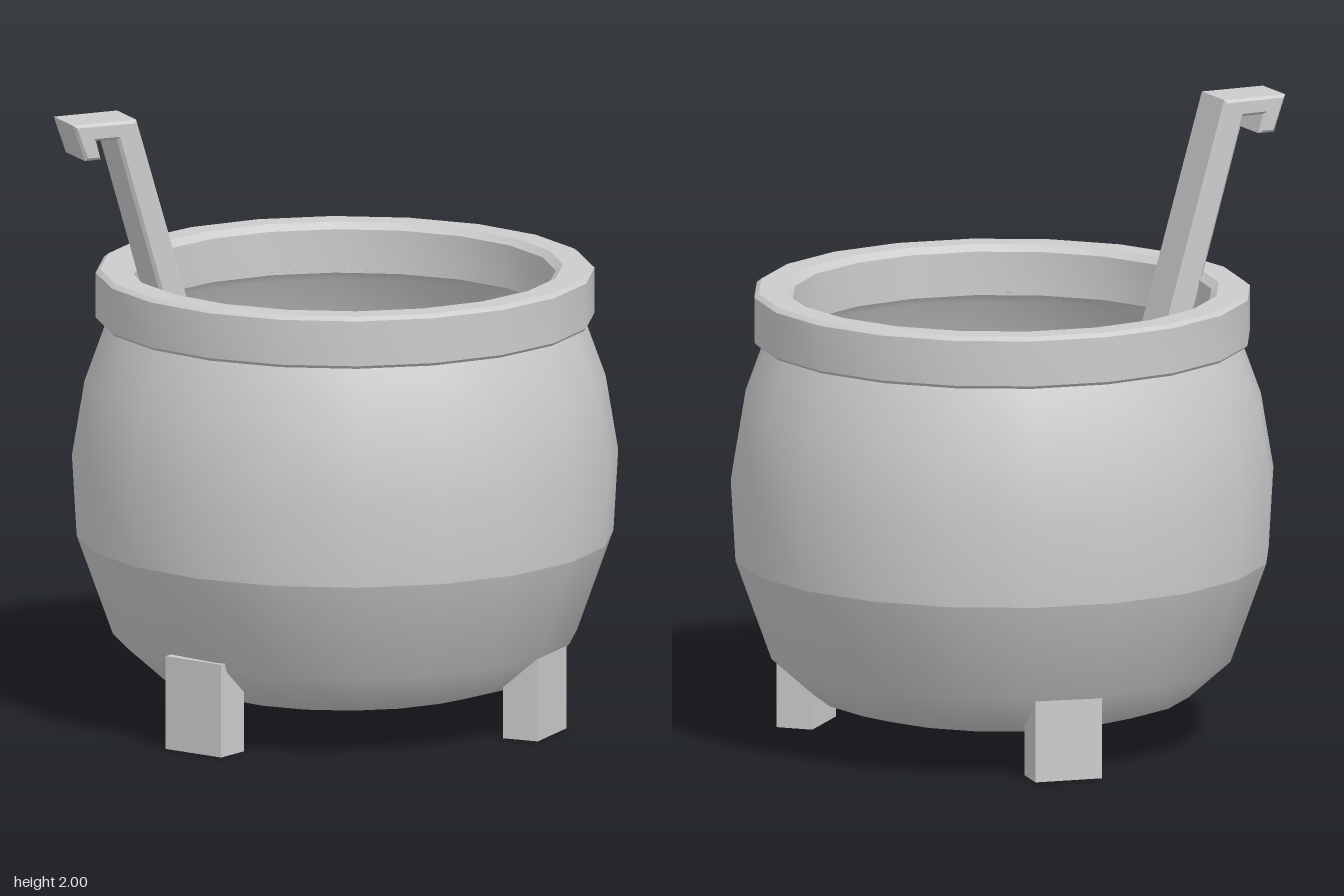
import * as THREE from 'three';
import { toCreasedNormals } from 'three/addons/utils/BufferGeometryUtils.js';

const SIDES = 20;
const CENTER_X = 0.04;

export function createModel() {
  const model = new THREE.Group();
  model.name = 'cauldron';
  const material = new THREE.MeshStandardMaterial({ color: 0xcccccc });

  const add = (name, geometry, parent) => {
    const mesh = new THREE.Mesh(geometry, material);
    mesh.name = name;
    parent.add(mesh);
    return mesh;
  };
  const lathe = (points) =>
    new THREE.LatheGeometry(points.map(([r, y]) => new THREE.Vector2(r, y)), SIDES);

  const pot = new THREE.Group();
  pot.name = 'pot';
  pot.position.x = CENTER_X;
  model.add(pot);

  // Bowl: base disc, lower belly and upper belly meet in hard edges
  add('base', lathe([[0, 0.115], [0.48, 0.115]]), pot);
  add('lowerBelly', lathe([[0.48, 0.115], [0.6, 0.15], [0.735, 0.27], [0.85, 0.59]]), pot);
  add('upperBelly', lathe([[0.85, 0.59], [0.865, 0.85], [0.825, 1.09], [0.76, 1.27], [0.74, 1.3]]), pot);
  add('innerWall', lathe([[0.665, 1.3], [0.71, 1.26], [0.775, 1.09]]), pot);

  // Thick rim band with bevelled edges
  const rim = lathe([
    [0.73, 1.283], [0.78, 1.283], [0.79, 1.293], [0.79, 1.438], [0.775, 1.45],
    [0.69, 1.45], [0.667, 1.43], [0.665, 1.29],
  ]);
  add('rim', toCreasedNormals(rim, 0.5), pot);

  // Flat liquid surface
  add('liquid', lathe([[0.76, 1.14], [0, 1.14]]), pot);

  // Three block feet facing outward: [x, z, outward angle in degrees]
  [[0.625, 0.31, 27], [-0.43, 0.515, 130], [-0.073, -0.645, 260]].forEach(([x, z, angle]) => {
    const foot = add('foot', new THREE.BoxGeometry(0.12, 0.3, 0.22), model);
    foot.position.set(x, 0.15, z);
    foot.rotation.y = -THREE.MathUtils.degToRad(angle);
  });

  // Ladle handle with a hooked end, drawn side on and extruded
  const bevel = 0.01;
  const width = 0.172;
  const outline = new THREE.Shape([
    [0.015, 1.99], [0.052, 1.89], [0.088, 1.89], [0.072, 1.951], [0.162, 1.951],
    [0.468, 0.9], [0.538, 0.9], [0.214, 1.99],
  ].map(([s, y]) => new THREE.Vector2(s, y)));
  const handle = new THREE.ExtrudeGeometry(outline, {
    depth: width - 2 * bevel, bevelEnabled: true,
    bevelSize: bevel, bevelThickness: bevel, bevelSegments: 1,
  });
  handle.translate(0, 0, bevel - width / 2);
  const ladle = add('ladleHandle', handle, model);
  ladle.position.set(-0.872, 0, 0.33);
  ladle.rotation.y = Math.atan2(0.35, 0.937);

  return model;
}
